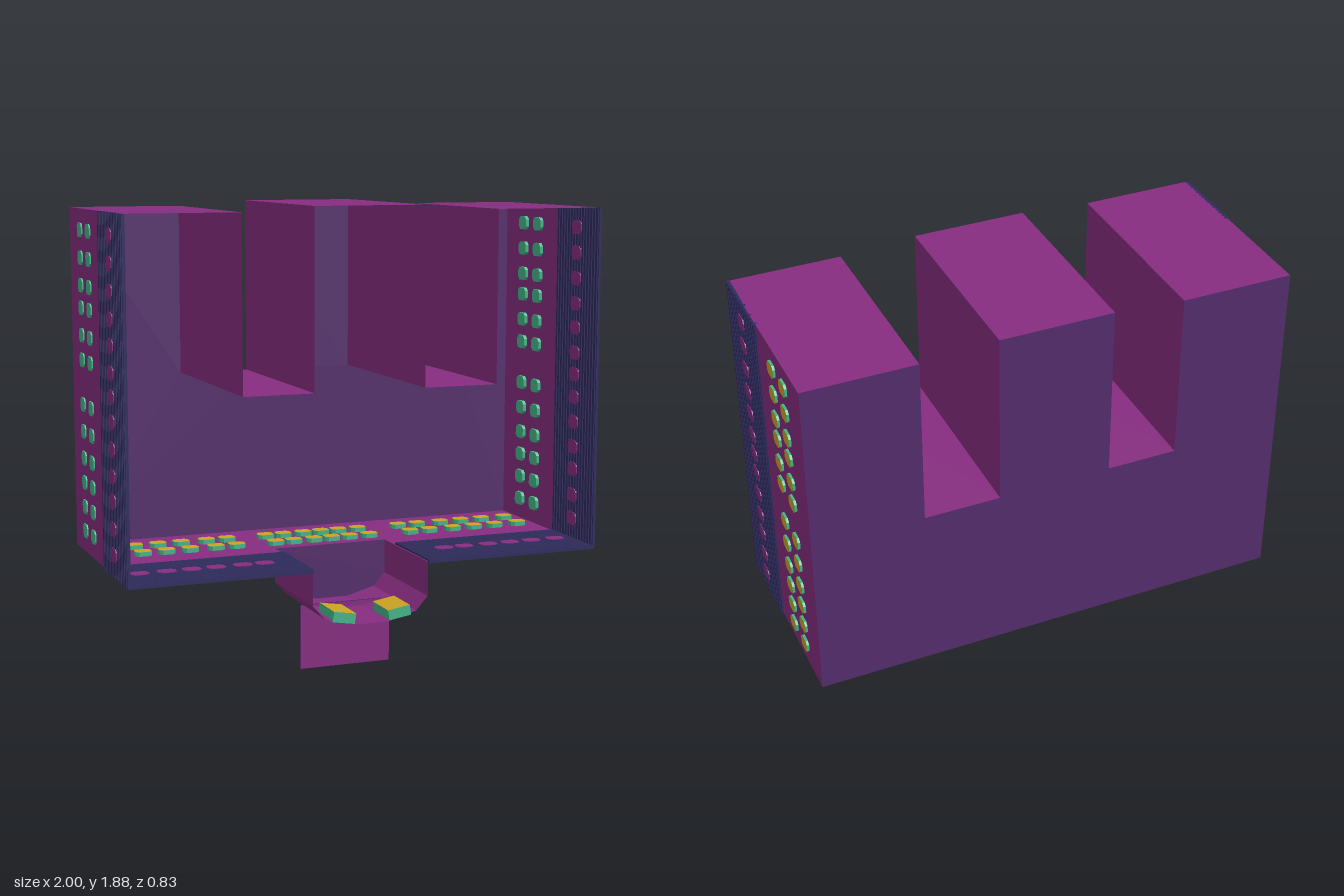
import * as THREE from 'three';

const mat = (name, color) => {
  const m = new THREE.MeshStandardMaterial({ color, side: THREE.DoubleSide });
  m.name = name;
  return m;
};

export function createModel() {
  const magenta = mat('magenta', 0x862d80);
  const purple = mat('purple', 0x542d6b);
  const navy = mat('navy', 0x2f2b5e);
  const yellow = mat('yellow', 0xcca224);
  const green = mat('green', 0x45b488);

  const model = new THREE.Group();
  const Z0 = -0.415, Z1 = 0.415, FLOOR = 0.47, WALL = 0.988;

  const group = (name) => {
    const g = new THREE.Group();
    g.name = name;
    model.add(g);
    return g;
  };
  const add = (parent, name, geo, material, x = 0, y = 0, z = 0) => {
    const m = new THREE.Mesh(geo, material);
    m.name = name;
    m.position.set(x, y, z);
    parent.add(m);
    return m;
  };
  const box = (parent, name, w, h, d, material, x, y, z) =>
    add(parent, name, new THREE.BoxGeometry(w, h, d), material, x, y, z);

  // Open sheet: an x-y path swept along z
  const sheet = (parent, name, path, z0, z1, material) => {
    const p = [];
    for (let i = 0; i + 1 < path.length; i++) {
      const [ax, ay] = path[i], [bx, by] = path[i + 1];
      p.push(ax, ay, z0, ax, ay, z1, bx, by, z1, ax, ay, z0, bx, by, z1, bx, by, z0);
    }
    const geo = new THREE.BufferGeometry();
    geo.setAttribute('position', new THREE.Float32BufferAttribute(p, 3));
    geo.computeVertexNormals();
    return add(parent, name, geo, material);
  };
  const shapeOf = (path) => new THREE.Shape(path.map(([x, y]) => new THREE.Vector2(x, y)));

  // Shell with three towers, open at the front
  const shell = group('shell');
  const outline = [
    [-WALL, FLOOR], [-WALL, 1.865], [-0.53, 1.865], [-0.53, 1.17], [-0.24, 1.17], [-0.24, 1.885],
    [0.225, 1.885], [0.225, 1.17], [0.535, 1.17], [0.535, 1.865], [WALL, 1.865], [WALL, FLOOR],
  ];
  sheet(shell, 'wallsAndRoofs', outline, Z0, Z1, magenta);
  sheet(shell, 'floorLeft', [[0.24, FLOOR], [WALL, FLOOR]], Z0, Z1, magenta);
  sheet(shell, 'floorRight', [[-WALL, FLOOR], [-0.25, FLOOR]], Z0, Z1, magenta);
  sheet(shell, 'floorBack', [[-0.25, FLOOR], [0.24, FLOOR]], Z0, -0.03, magenta);
  add(shell, 'backWall', new THREE.ShapeGeometry(shapeOf(outline)), purple, 0, 0, Z0);

  // Trough hanging below the floor opening
  const trough = group('trough');
  const trough2d = [
    [-0.25, FLOOR], [-0.25, 0.33], [-0.2, 0.275], [-0.07, 0.242],
    [0.07, 0.242], [0.19, 0.275], [0.24, 0.33], [0.24, FLOOR],
  ];
  sheet(trough, 'troughSides', trough2d, -0.03, 0.42, magenta);
  add(trough, 'troughBack', new THREE.ShapeGeometry(shapeOf(trough2d)), purple, 0, 0, -0.03);
  for (const s of [-1, 1]) {
    const block = box(trough, 'troughBlock', 0.095, 0.042, 0.16,
      [green, green, yellow, green, green, green], s * 0.118, 0.273, 0.34);
    block.rotation.z = s * 0.16;
  }

  // Hanging plate: light front, dark back
  box(model, 'hangingPlate', 0.39, 0.265, 0.01,
    [navy, navy, navy, navy, magenta, purple], -0.007, 0.1325, 0.14);

  // Ribbed bands along the front of both walls and the floor
  const bands = group('ribbedBands');
  const BAND0 = 0.07, BAND1 = 0.42, RIBS = 15, pitch = (BAND1 - BAND0) / RIBS;
  const midZ = (BAND0 + BAND1) / 2;
  const wallH = 1.865 - FLOOR, wallY = (1.865 + FLOOR) / 2;
  for (const s of [-1, 1]) {
    box(bands, 'wallBand', 0.01, wallH, BAND1 - BAND0, navy, s * WALL, wallY, midZ);
    box(bands, 'floorBand', 0.745, 0.01, BAND1 - BAND0, navy, s * 0.618, FLOOR, midZ);
    for (let i = 0; i < RIBS; i++) {
      const z = BAND0 + (i + 0.5) * pitch;
      box(bands, 'wallRib', 0.019, wallH, pitch * 0.5, navy, s * WALL, wallY, z);
      box(bands, 'floorRib', 0.745, 0.018, pitch * 0.5, navy, s * 0.618, FLOOR, z);
    }
  }

  // Chamfered window outline
  const pane = (w, h, c) => {
    const x = w / 2, y = h / 2;
    return shapeOf([[-x + c, -y], [x - c, -y], [x, -y + c], [x, y - c],
      [x - c, y], [-x + c, y], [-x, y - c], [-x, -y + c]]);
  };
  const T = 0.024;
  const frameShape = pane(0.068, 0.056, 0.013);
  const frameGeo = new THREE.ExtrudeGeometry(frameShape, { depth: T, bevelEnabled: false });
  frameGeo.translate(0, 0, -T / 2);
  const faceGeo = new THREE.ShapeGeometry(frameShape);
  const bandPaneGeo = new THREE.ExtrudeGeometry(pane(0.076, 0.056, 0.014), { depth: T, bevelEnabled: false });
  bandPaneGeo.translate(0, 0, -T / 2);

  // Green window body with a yellow face on its local +z side
  const windows = group('windows');
  const orient = (g, onFloor) => {
    if (onFloor) g.rotation.x = -Math.PI / 2;
    else g.rotation.y = Math.PI / 2;
  };
  const windowAt = (x, y, z, onFloor) => {
    const g = new THREE.Group();
    g.name = 'window';
    add(g, 'windowBody', frameGeo, green);
    add(g, 'windowFace', faceGeo, yellow, 0, 0, T / 2 + 0.001);
    orient(g, onFloor);
    g.position.set(x, y, z);
    windows.add(g);
  };
  const bandPaneAt = (x, y, z, onFloor) =>
    orient(add(windows, 'bandPane', bandPaneGeo, magenta, x, y, z), onFloor);

  // Wall windows: two columns behind the band, one on it
  const rows = [0.56, 0.66, 0.76, 0.86, 0.97, 1.08, 1.26, 1.36, 1.47, 1.56, 1.67, 1.78];
  const bandRows = [0.56, 0.66, 0.77, 0.865, 0.97, 1.075, 1.17, 1.26, 1.365, 1.465, 1.57, 1.675, 1.78];
  for (const y of rows) {
    for (const z of [-0.107, -0.24]) {
      windowAt(-0.982, y, z, false);
      windowAt(0.986, y, z, false);
    }
  }
  for (const y of bandRows) for (const s of [-1, 1]) bandPaneAt(s * WALL, y, 0.243, false);

  // Floor windows: two rows behind the band, one on it
  const outer = [0.39, 0.48, 0.59, 0.69, 0.79, 0.9];
  const columns = [...outer.map((x) => -x), -0.22, -0.14, -0.05, 0.03, 0.11, 0.2, ...outer];
  for (const x of columns) {
    for (const z of [-0.107, -0.24]) windowAt(x, FLOOR + 0.006, z, true);
    if (Math.abs(x) > 0.3) bandPaneAt(x, FLOOR, 0.243, true);
  }

  return model;
}
